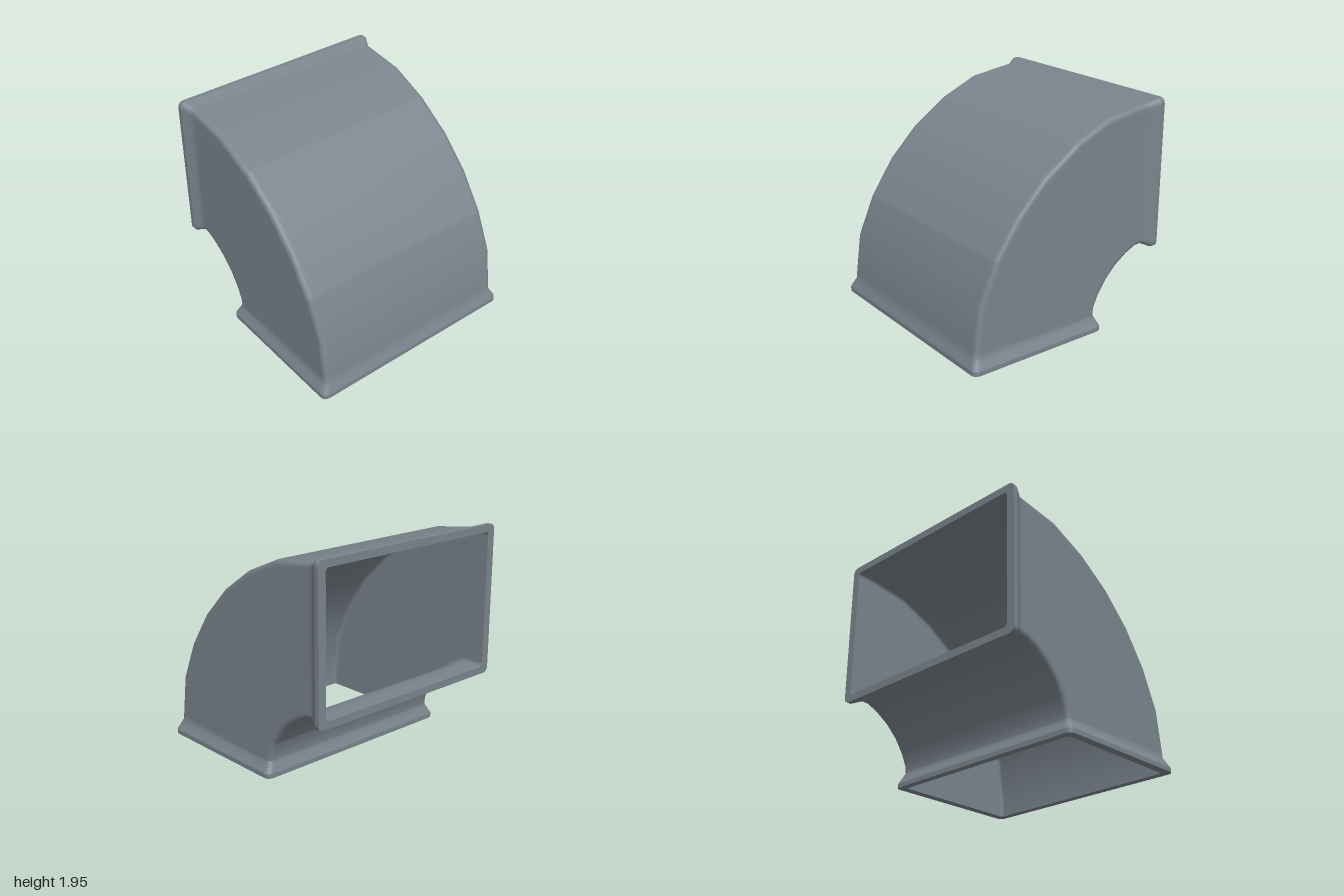
import * as THREE from 'three';
import { toCreasedNormals } from 'three/addons/utils/BufferGeometryUtils.js';

const CORNER_STEPS = 4;
const EDGE = 0.02; // narrow strip beside each corner that keeps the walls flat
const SPAN = 0.975; // half the overall length
const material = new THREE.MeshStandardMaterial({ color: 0x7a848d });

// Rounded-rectangle cross-section spanning the inner and outer bend points.
function section({ inner, outer, halfZ, radius }) {
  const a = new THREE.Vector2(...inner), b = new THREE.Vector2(...outer);
  const mid = a.clone().add(b).multiplyScalar(0.5);
  const halfU = a.distanceTo(b) / 2;
  const u = b.clone().sub(a).normalize();
  const points = [];
  const add = (along, z) => points.push([mid.x + u.x * along, mid.y + u.y * along, z]);
  [[1, 1], [-1, 1], [-1, -1], [1, -1]].forEach(([su, sz], corner) => {
    for (let k = -1; k <= CORNER_STEPS + 1; k++) {
      const step = THREE.MathUtils.clamp(k, 0, CORNER_STEPS);
      const t = (corner + step / CORNER_STEPS) * Math.PI / 2;
      const shift = EDGE * (k - step);
      add(
        su * (halfU - radius) + radius * Math.cos(t) - shift * Math.sin(t),
        sz * (halfZ - radius) + radius * Math.sin(t) + shift * Math.cos(t),
      );
    }
  });
  return points;
}

// Skin a run of cross-sections.
function loft(name, rings) {
  const sections = rings.map(section);
  const n = sections[0].length;
  const index = [];
  for (let i = 0; i < sections.length - 1; i++) {
    for (let j = 0; j < n; j++) {
      const k = (j + 1) % n;
      const a = i * n + j, b = a + n, c = i * n + k, d = c + n;
      index.push(a, b, c, b, d, c);
    }
  }
  const geometry = new THREE.BufferGeometry();
  geometry.setAttribute('position', new THREE.Float32BufferAttribute(sections.flat(2), 3));
  geometry.setIndex(index);
  const mesh = new THREE.Mesh(toCreasedNormals(geometry, 0.6), material);
  mesh.name = name;
  return mesh;
}

// Reflection across the diagonal of the bend swaps its two ends.
const flip = ([x, y]) => [y - SPAN, x + SPAN];
const mirrorRing = r => ({ ...r, inner: flip(r.inner), outer: flip(r.outer) });
const mirrorRun = run => run.map(mirrorRing).reverse();

// Ring part of the way from one ring to the next.
function blend(p, q, t) {
  const mix = (a, b) => a + (b - a) * t;
  return {
    inner: p.inner.map((v, i) => mix(v, q.inner[i])),
    outer: p.outer.map((v, i) => mix(v, q.outer[i])),
    halfZ: mix(p.halfZ, q.halfZ), radius: mix(p.radius, q.radius),
  };
}

// Shrink a ring by the wall thickness.
function inset(r, t = 0.025) {
  const a = new THREE.Vector2(...r.inner), b = new THREE.Vector2(...r.outer);
  const d = b.clone().sub(a).setLength(t);
  return {
    inner: a.add(d).toArray(), outer: b.sub(d).toArray(),
    halfZ: r.halfZ - t, radius: r.radius - 0.01,
  };
}

export function createModel() {
  const group = new THREE.Group();
  group.name = 'ductElbow';

  const body = (inner, outer) => ({ inner, outer, halfZ: 0.95, radius: 0.04 });
  const flange = y => ({ inner: [-0.36, y], outer: [SPAN - 0.005, y], halfZ: 1, radius: 0.05 });
  const mouth = inset(body([-0.32, 0], [0.93, 0]));

  // First half of the bend, from the bottom opening to the diagonal
  const bend = [
    body([-0.32, 0.13], [0.93, 0.13]),
    body([-0.325, 0.2], [0.872, 0.55]),
    body([-0.37, 0.3], [0.72, 0.9]),
    body([-0.45, 0.42], [0.505, 1.215]),
  ];

  // Flared ends, with a tight fillet where the flare meets the body
  const base = flange(0.04);
  const end = [base, blend(base, bend[0], 0.6), bend[0], blend(bend[0], bend[1], 0.12), bend[1], bend[2]];
  group.add(loft('lowerShell', end));
  group.add(loft('upperShell', mirrorRun(end)));

  // Middle of the bend
  const middle = bend.slice(2);
  group.add(loft('middleShell', [...middle, ...mirrorRun(middle)]));

  // Inner lining, running straight out to the two openings
  const inside = [mouth, ...bend.map(r => inset(r))];
  group.add(loft('innerLining', [...inside, ...mirrorRun(inside)].reverse()));

  // Flat-faced rims round the openings
  const rim = [mouth, flange(0), base];
  group.add(loft('bottomRim', rim));
  group.add(loft('sideRim', mirrorRun(rim)));

  return group;
}
